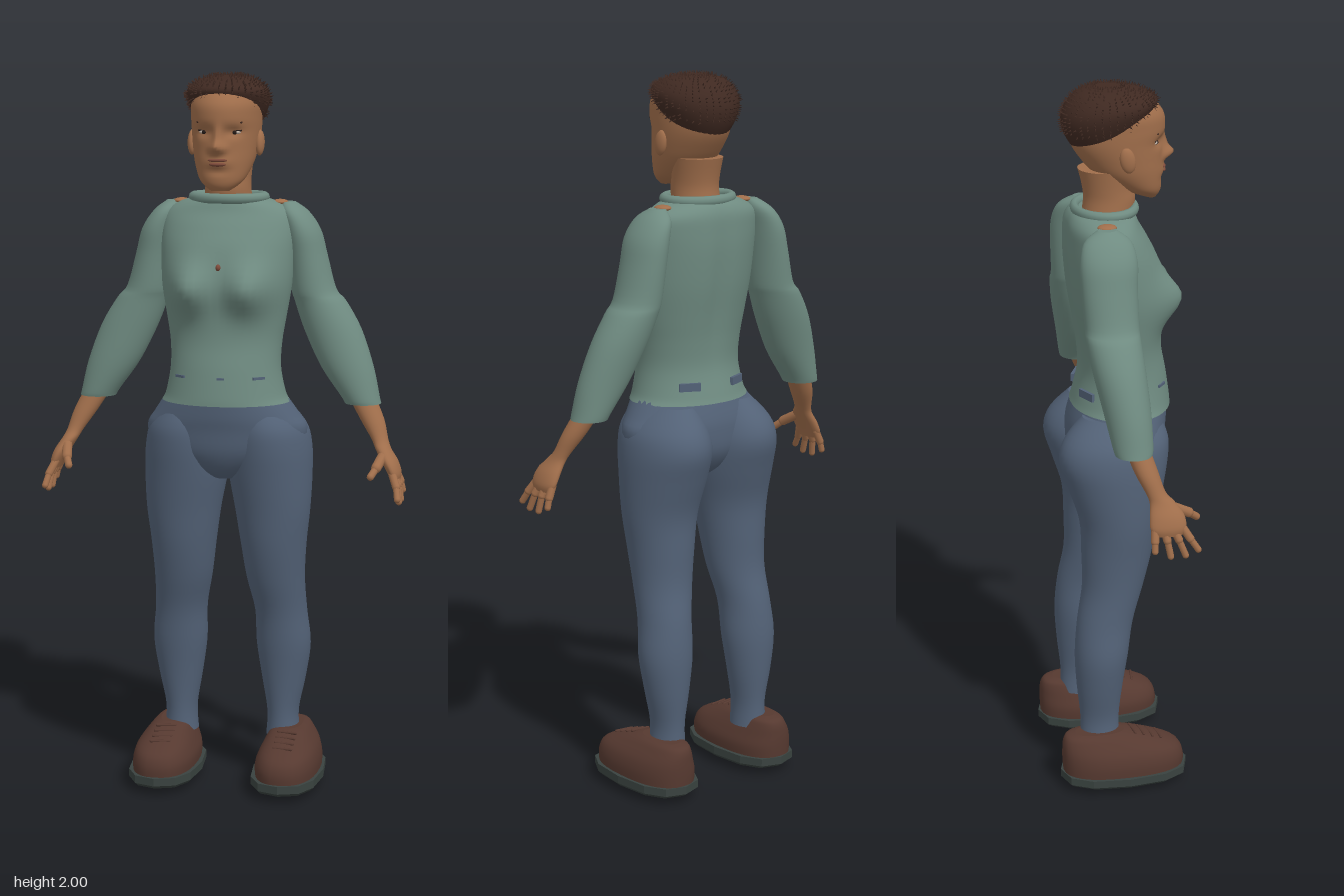
import * as THREE from 'three';
import { mergeGeometries } from 'three/addons/utils/BufferGeometryUtils.js';

const mat = (name, color) => {
  const m = new THREE.MeshStandardMaterial({ color });
  m.name = name;
  return m;
};

// Smooth interpolation of cross-section rows
function smoothRows(rows, steps) {
  const out = [], last = rows.length - 1;
  for (let i = 0; i < last; i++) {
    const [a, b, c, d] = [rows[Math.max(i - 1, 0)], rows[i], rows[i + 1], rows[Math.min(i + 2, last)]];
    for (let k = 0; k < steps; k++) {
      const t = k / steps;
      out.push(b.map((v, n) => v + 0.5 * t * (c[n] - a[n]
        + t * (2 * a[n] - 5 * v + 4 * c[n] - d[n] + t * (3 * (v - c[n]) + d[n] - a[n])))));
    }
  }
  out.push(rows[last]);
  return out;
}

// Closed body from level sections, bottom to top: [y, x inner, x outer, z back, z front]
function loft(rows, { side = 1, segs = 32, steps = 4, power = 1, warp } = {}) {
  const pos = [], idx = [], v = new THREE.Vector3();
  const rings = smoothRows(rows, steps);
  const bend = (n) => Math.sign(n) * Math.abs(n) ** power;
  const ring = ([y, x0, x1, z0, z1]) => {
    for (let j = 0; j < segs; j++) {
      const a = (j / segs) * Math.PI * 2;
      v.set(side * (x0 + x1) / 2 + (x1 - x0) / 2 * bend(Math.cos(a)), y,
        (z0 + z1) / 2 + (z1 - z0) / 2 * bend(Math.sin(a)));
      if (warp) warp(v);
      pos.push(v.x, v.y, v.z);
    }
  };
  rings.forEach(ring);
  for (let i = 0; i < rings.length - 1; i++) {
    for (let j = 0; j < segs; j++) {
      const a = i * segs + j, b = i * segs + (j + 1) % segs;
      idx.push(a, a + segs, b, b, a + segs, b + segs);
    }
  }
  // End caps with their own edge points
  for (const top of [false, true]) {
    const r = top ? rings[rings.length - 1] : rings[0], start = pos.length / 3;
    ring(r);
    v.set(side * (r[1] + r[2]) / 2, r[0], (r[3] + r[4]) / 2);
    if (warp) warp(v);
    pos.push(v.x, v.y, v.z);
    for (let j = 0; j < segs; j++) {
      const a = start + j, b = start + (j + 1) % segs;
      idx.push(start + segs, top ? b : a, top ? a : b);
    }
  }
  const g = new THREE.BufferGeometry();
  g.setAttribute('position', new THREE.Float32BufferAttribute(pos, 3));
  g.setIndex(idx);
  g.computeVertexNormals();
  return g;
}

const centred = (rows) => rows.map(([y, w, z0, z1]) => [y, -w, w, z0, z1]);
const bump = (x, y, w, h) => Math.exp(-((x / w) ** 2) - (y / h) ** 2);

export function createModel() {
  const model = new THREE.Group();
  const skin = mat('skin', 0xa06e4b), shirt = mat('shirt green', 0x6f8b81), denim = mat('trouser blue', 0x536277);
  const hairM = mat('hair brown', 0x3f2921), shoe = mat('shoe brown', 0x563930), sole = mat('sole grey', 0x39423f);
  const lip = mat('lip', 0x7d4a3a), white = mat('eye white', 0xb9aca0), dark = mat('eye dark', 0x241a17);

  const add = (name, geo, material) => {
    const m = new THREE.Mesh(geo, material);
    m.name = name;
    model.add(m);
    return m;
  };
  const ball = (name, material, p, s) => {
    const m = add(name, new THREE.SphereGeometry(1, 20, 14), material);
    m.position.set(...p);
    m.scale.set(...s);
    return m;
  };
  const rod = (name, material, a, b, r) => {
    const p = new THREE.Vector3(...a), q = new THREE.Vector3(...b), d = q.clone().sub(p);
    const m = add(name, new THREE.CapsuleGeometry(r, d.length(), 5, 10), material);
    m.position.copy(p).add(q).multiplyScalar(0.5);
    m.quaternion.setFromUnitVectors(new THREE.Vector3(0, 1, 0), d.normalize());
  };
  const patch = (name, material, p, s, turn) => {
    const m = add(name, new THREE.BoxGeometry(...s), material);
    m.position.set(...p);
    m.rotation.y = turn;
  };

  // Shirt body with bust and a slight spine groove
  add('shirtBody', loft(centred([
    [1.105, 0.178, -0.114, 0.16], [1.13, 0.166, -0.107, 0.158], [1.2, 0.153, -0.092, 0.148],
    [1.27, 0.155, -0.095, 0.135], [1.34, 0.166, -0.105, 0.133], [1.43, 0.18, -0.12, 0.138],
    [1.52, 0.185, -0.128, 0.122], [1.58, 0.185, -0.128, 0.095], [1.62, 0.175, -0.125, 0.072],
    [1.645, 0.14, -0.115, 0.062], [1.66, 0.095, -0.1, 0.055]]), {
    segs: 56, steps: 5,
    warp: (v) => {
      if (v.z > 0) v.z += 0.055 * bump(Math.abs(v.x) - 0.085, v.y - 1.42, 0.055, 0.065);
      else v.z += 0.012 * bump(v.x, v.y - 1.4, 0.03, 0.2);
    } }), shirt);
  const collar = add('collar', new THREE.TorusGeometry(0.098, 0.014, 10, 40), shirt);
  collar.rotation.x = Math.PI / 2;
  collar.scale.y = 0.82;
  collar.position.set(0, 1.66, -0.018);
  ball('chestButton', lip, [0, 1.48, 0.133], [0.007, 0.009, 0.008]);
  patch('frontHemGap', denim, [0.01, 1.18, 0.149], [0.02, 0.006, 0.008], 0);

  // Trouser hips
  add('trouserHips', loft(centred([
    [0.89, 0.04, -0.05, 0.07], [0.92, 0.12, -0.09, 0.105], [0.97, 0.205, -0.12, 0.13],
    [1.03, 0.224, -0.125, 0.14], [1.07, 0.202, -0.12, 0.148], [1.12, 0.168, -0.105, 0.152]]), { segs: 40 }), denim);

  // Neck and head with nose, sockets, lips and cheeks
  add('neck', loft(centred([[1.62, 0.07, -0.085, 0.05], [1.68, 0.063, -0.075, 0.065],
    [1.72, 0.063, -0.078, 0.06], [1.77, 0.068, -0.09, 0.06]])), skin);
  add('head', loft(centred([
    [1.685, 0.025, 0.09, 0.122], [1.7, 0.047, 0.05, 0.132], [1.72, 0.064, 0.01, 0.136],
    [1.76, 0.08, -0.05, 0.138], [1.8, 0.088, -0.085, 0.137], [1.84, 0.093, -0.11, 0.138],
    [1.88, 0.095, -0.12, 0.145], [1.92, 0.094, -0.12, 0.138], [1.96, 0.075, -0.095, 0.1], [1.98, 0.03, -0.04, 0.04]]), {
    segs: 80, steps: 6,
    warp: (v) => {
      if (v.z < 0.03) return;
      const x = Math.abs(v.x);
      v.z += 0.03 * bump(x, v.y - 1.802, 0.016, 0.017) + 0.014 * bump(x, v.y - 1.83, 0.011, 0.025)
        + 0.008 * bump(x - 0.017, v.y - 1.797, 0.011, 0.011) - 0.012 * bump(x - 0.04, v.y - 1.842, 0.022, 0.014)
        + 0.007 * bump(x, v.y - 1.762, 0.03, 0.015) - 0.005 * bump(x, v.y - 1.738, 0.03, 0.01);
    } }), skin);
  ball('upperLip', lip, [0, 1.768, 0.139], [0.027, 0.005, 0.008]);
  ball('lowerLip', lip, [0, 1.757, 0.139], [0.023, 0.006, 0.009]);

  // Cropped hair, lower at the back, covered in short tufts
  const hair = loft(centred([
    [1.865, 0.085, -0.1, 0.095], [1.9, 0.104, -0.125, 0.115], [1.93, 0.113, -0.134, 0.122],
    [1.955, 0.106, -0.122, 0.108], [1.978, 0.078, -0.09, 0.075], [1.99, 0.03, -0.045, 0.025]]), {
    segs: 40, steps: 4,
    warp: (v) => { v.y += 0.4 * v.z * Math.min(1, Math.max(0, (1.985 - v.y) / 0.12)); } });
  add('hair', hair, hairM);
  let seed = 7;
  const rand = () => (seed = (seed * 16807) % 2147483647) / 2147483647;
  const tufts = [], up = new THREE.Vector3(0, 1, 0);
  for (let i = 0; i < 21 * 40; i++) {
    const p = new THREE.Vector3().fromBufferAttribute(hair.attributes.position, i);
    const n = new THREE.Vector3().fromBufferAttribute(hair.attributes.normal, i);
    if (p.y < 1.87 || rand() < 0.3) continue;
    n.x += (rand() - 0.5) * 0.8;
    n.z += (rand() - 0.5) * 0.8;
    const tuft = new THREE.ConeGeometry(0.005, 0.02, 4);
    tuft.applyQuaternion(new THREE.Quaternion().setFromUnitVectors(up, n.normalize()));
    tufts.push(tuft.translate(p.x, Math.min(p.y, 1.988), p.z));
  }
  add('hairTufts', mergeGeometries(tufts), hairM);

  for (const s of [1, -1]) {
    const name = (part) => (s > 0 ? 'left' : 'right') + part;
    const at = (x, y, z) => [s * x, y, z];

    // Eye, brow and ear
    ball(name('Eye'), white, at(0.041, 1.841, 0.105), [0.016, 0.006, 0.012]);
    ball(name('Iris'), dark, at(0.041, 1.841, 0.113), [0.007, 0.006, 0.006]);
    rod(name('Lid'), dark, at(0.026, 1.846, 0.119), at(0.057, 1.846, 0.106), 0.0025);
    rod(name('Brow'), hairM, at(0.022, 1.866, 0.134), at(0.06, 1.868, 0.112), 0.003);
    ball(name('Ear'), skin, at(0.093, 1.81, 0.025), [0.013, 0.035, 0.021]).rotation.x = -0.2;

    // Sleeve
    add(name('Sleeve'), loft([
      [1.1, 0.325, 0.425, -0.07, 0.03], [1.12, 0.313, 0.42, -0.075, 0.033], [1.2, 0.256, 0.402, -0.09, 0.035],
      [1.3, 0.207, 0.366, -0.11, 0.03], [1.375, 0.18, 0.322, -0.12, 0.025], [1.41, 0.17, 0.293, -0.12, 0.025],
      [1.5, 0.16, 0.268, -0.125, 0.025], [1.57, 0.15, 0.249, -0.125, 0.028], [1.62, 0.14, 0.215, -0.11, 0.015],
      [1.647, 0.14, 0.18, -0.07, -0.02]], { side: s }), shirt);
    ball(name('ShoulderPatch'), skin, at(0.138, 1.646, -0.04), [0.022, 0.008, 0.026]);

    // Forearm, palm and fingers
    add(name('ForearmAndPalm'), loft([
      [0.905, 0.465, 0.49, 0.015, 0.09], [0.925, 0.455, 0.492, 0.003, 0.1], [0.955, 0.438, 0.482, 0.004, 0.096],
      [0.985, 0.42, 0.463, 0.008, 0.075], [1.01, 0.406, 0.452, 0.0, 0.053], [1.06, 0.372, 0.438, -0.025, 0.038],
      [1.12, 0.335, 0.41, -0.045, 0.02]], { side: s, segs: 24 }), skin);
    const fingers = [[0.088, 0.108, 0.128, 0.863], [0.064, 0.077, 0.094, 0.85], [0.04, 0.046, 0.054, 0.85], [0.016, 0.013, 0.012, 0.868]];
    for (const [z0, z1, z2, tip] of fingers) {
      rod(name('Finger'), skin, at(0.472, 0.925, z0), at(0.486, 0.893, z1), 0.011);
      rod(name('FingerTip'), skin, at(0.486, 0.893, z1), at(0.492, tip, z2), 0.009);
    }
    rod(name('Thumb'), skin, at(0.445, 0.975, 0.06), at(0.432, 0.945, 0.115), 0.014);
    rod(name('ThumbTip'), skin, at(0.432, 0.945, 0.115), at(0.42, 0.925, 0.14), 0.01);

    // Trouser leg
    add(name('TrouserLeg'), loft([
      [0.13, 0.1, 0.197, -0.122, -0.008], [0.2, 0.103, 0.192, -0.12, -0.01], [0.3, 0.087, 0.212, -0.13, 0],
      [0.4, 0.073, 0.226, -0.135, 0.015], [0.5, 0.07, 0.217, -0.127, 0.03], [0.6, 0.05, 0.214, -0.11, 0.06],
      [0.7, 0.036, 0.22, -0.11, 0.085], [0.8, 0.021, 0.231, -0.115, 0.102], [0.9, 0.003, 0.235, -0.145, 0.12],
      [0.98, 0, 0.232, -0.168, 0.133], [1.04, 0.01, 0.215, -0.152, 0.133], [1.1, 0.03, 0.165, -0.1, 0.11]],
    { side: s, segs: 40 }), denim);

    // Gaps in the shirt hem
    patch(name('FrontHemGap'), denim, at(0.108, 1.18, 0.116), [0.035, 0.007, 0.008], s * 0.67);
    patch(name('BackHemGap'), denim, at(0.082, 1.155, -0.085), [0.06, 0.022, 0.009], s * -0.43);

    // Shoe, faceted sole, laces and the foot showing below
    add(name('ShoeUpper'), loft([
      [0.045, 0.088, 0.264, -0.176, 0.17], [0.08, 0.087, 0.264, -0.178, 0.17], [0.112, 0.098, 0.255, -0.178, 0.15],
      [0.14, 0.112, 0.235, -0.175, 0.085], [0.156, 0.123, 0.22, -0.165, 0.03], [0.163, 0.14, 0.205, -0.14, 0]],
    { side: s, power: 0.82 }), shoe);
    const soleMesh = add(name('Sole'), loft([[0.018, 0.085, 0.265, -0.17, 0.17], [0.028, 0.075, 0.275, -0.184, 0.182],
      [0.05, 0.075, 0.275, -0.184, 0.182]], { side: s, segs: 12, steps: 1, power: 0.8 }).toNonIndexed(), sole);
    soleMesh.geometry.computeVertexNormals();
    for (let i = 0; i < 4; i++) {
      const z = 0.02 + i * 0.025, y = 0.158 - i * 0.008;
      rod(name('Lace'), shoe, at(0.15, y, z), at(0.2, y, z + 0.008), 0.004);
    }
    ball(name('FootUnderside'), skin, at(0.18, 0.015, 0.075), [0.05, 0.015, 0.065]);
    ball(name('HeelUnderside'), skin, at(0.175, 0.018, -0.1), [0.018, 0.005, 0.02]);
  }
  return model;
}
